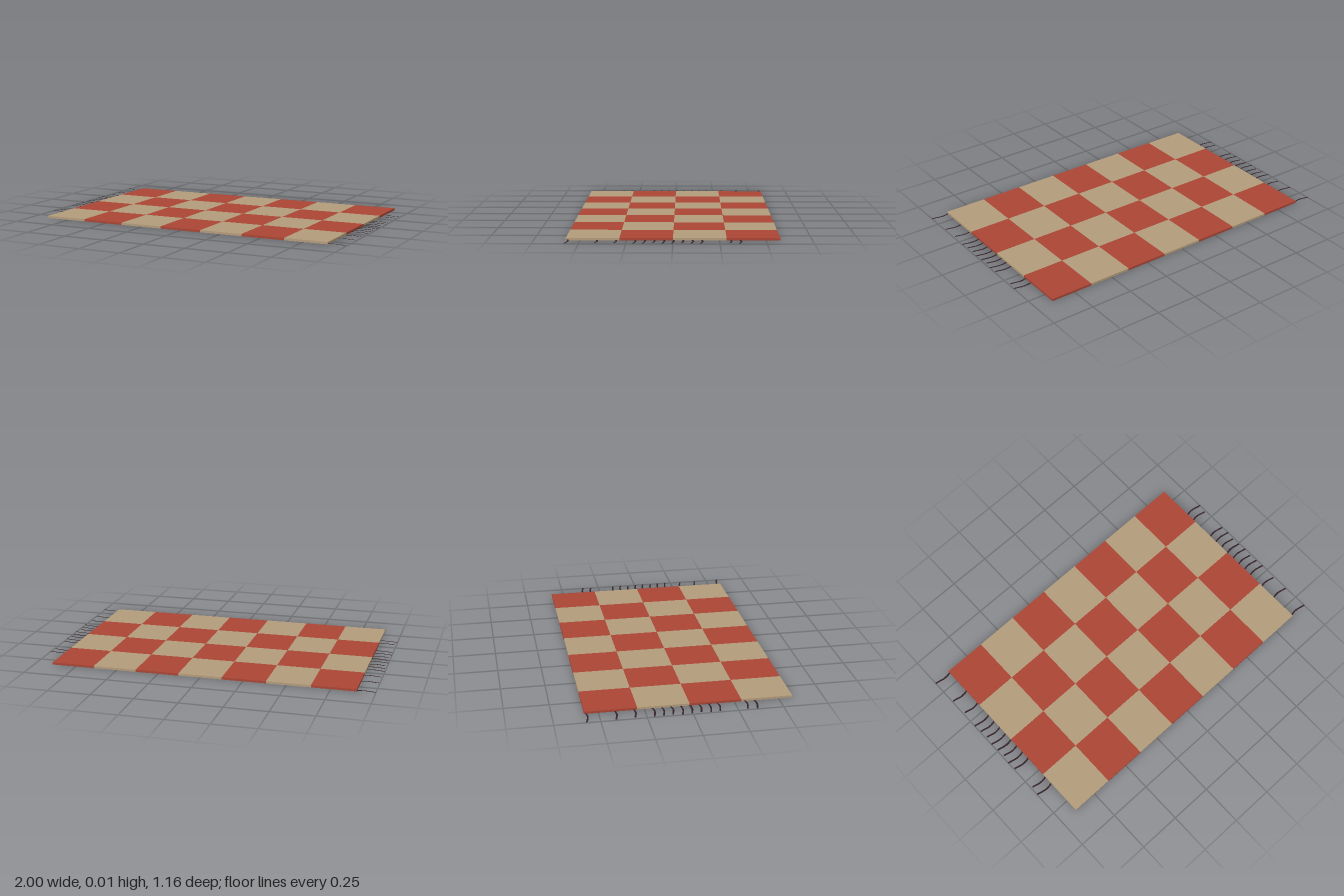
import * as THREE from 'three';

const W = 1.79, D = 1.154, H = 0.013, COLS = 7, ROWS = 4;

// Flat, slightly wavy strand lying on the floor, rooted at the origin and running along +x
function strandGeometry(length, width) {
  const geo = new THREE.PlaneGeometry(length, width, 8, 1);
  geo.rotateX(-Math.PI / 2);
  geo.translate(length / 2, 0, 0);
  const p = geo.attributes.position;
  for (let i = 0; i < p.count; i++) {
    const t = p.getX(i) / length;
    p.setZ(i, p.getZ(i) - 0.006 * Math.sin(t * Math.PI * 1.35));
  }
  geo.computeVertexNormals();
  return geo;
}

export function createModel() {
  const red = new THREE.MeshStandardMaterial({ color: 0xaa4535 });
  red.name = 'brick red';
  const tan = new THREE.MeshStandardMaterial({ color: 0xb39b7b });
  tan.name = 'tan';
  const dark = new THREE.MeshStandardMaterial({ color: 0x35242a, side: THREE.DoubleSide });
  dark.name = 'dark brown';

  const rug = new THREE.Group();
  rug.name = 'rug';

  // Checkered body
  const body = new THREE.Group();
  body.name = 'checkeredBody';
  const cw = W / COLS, cd = D / ROWS;
  const tile = new THREE.BoxGeometry(cw, H, cd);
  for (let r = 0; r < ROWS; r++) {
    for (let c = 0; c < COLS; c++) {
      const isRed = (r + c) % 2 === 0;
      const mesh = new THREE.Mesh(tile, isRed ? red : tan);
      mesh.name = isRed ? 'redSquare' : 'tanSquare';
      mesh.position.set(-W / 2 + (c + 0.5) * cw, H / 2, -D / 2 + (r + 0.5) * cd);
      body.add(mesh);
    }
  }
  rug.add(body);

  // Sparse fringe, the same at both ends after a half turn
  const strands = [-0.36, -0.308, -0.154, -0.103, -0.051, 0, 0.051, 0.103, 0.154, 0.205, 0.308, 0.411, 0.568];
  const geometries = [0.105, 0.095, 0.1].map((length) => strandGeometry(length, 0.01));
  for (const [name, turn] of [['leftFringe', 0], ['rightFringe', Math.PI]]) {
    const fringe = new THREE.Group();
    fringe.name = name;
    strands.forEach((z, i) => {
      const mesh = new THREE.Mesh(geometries[i % geometries.length], dark);
      mesh.name = 'strand';
      mesh.position.set(W / 2, 0.003, z);
      fringe.add(mesh);
    });
    fringe.rotation.y = turn;
    rug.add(fringe);
  }
  return rug;
}
